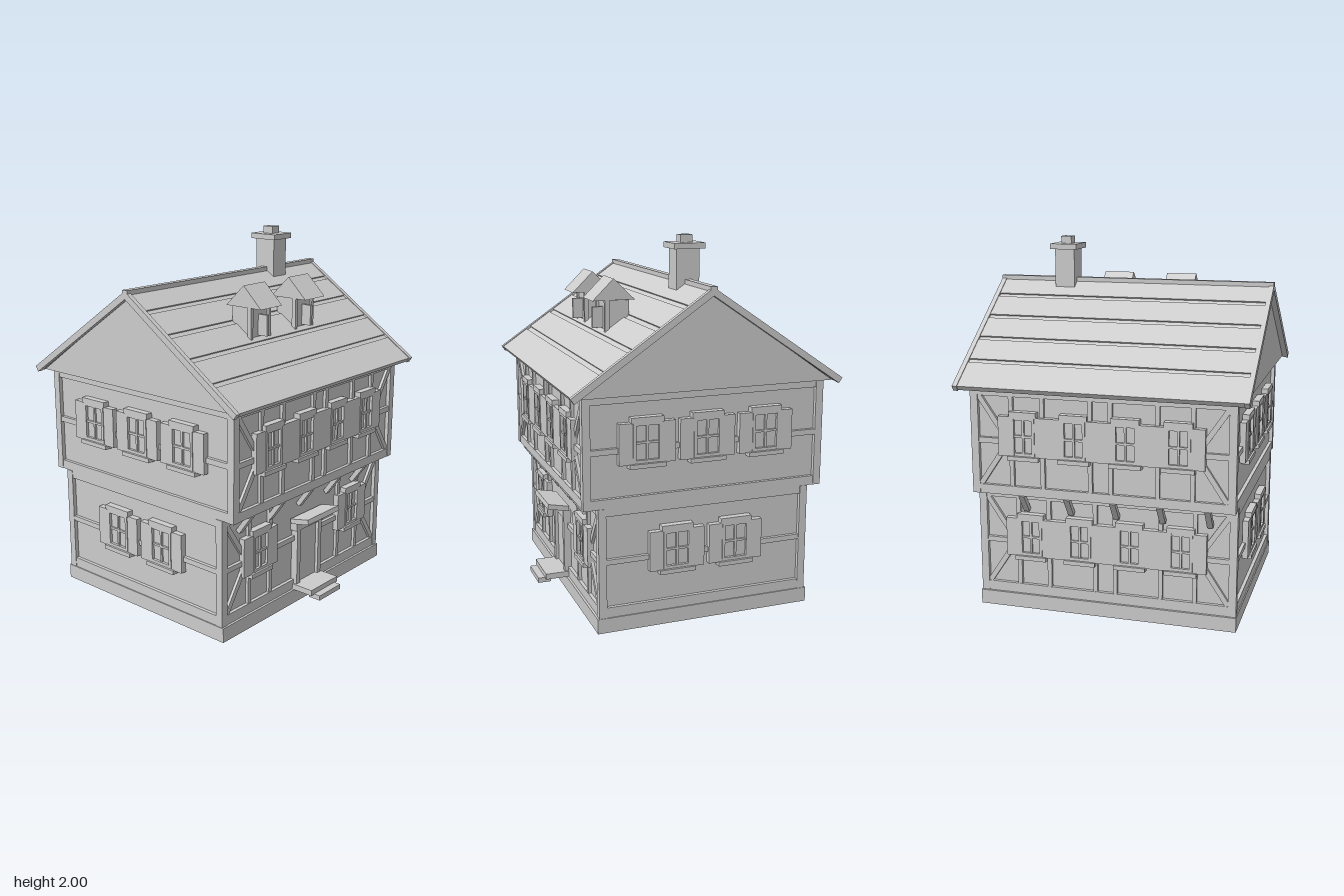
import * as THREE from 'three';

const stone = new THREE.MeshStandardMaterial({ color: 0xcccccc });
stone.name = 'plain grey';

// Box given by its lower and upper limits on each axis
function box(parent, name, x0, x1, y0, y1, z0, z1) {
  const m = new THREE.Mesh(new THREE.BoxGeometry(x1 - x0, y1 - y0, z1 - z0), stone);
  m.position.set((x0 + x1) / 2, (y0 + y1) / 2, (z0 + z1) / 2);
  m.name = name;
  parent.add(m);
  return m;
}

function group(parent, name) {
  const g = new THREE.Group();
  g.name = name;
  parent.add(g);
  return g;
}

// Beam between two points of a facade plane
function brace(parent, x0, y0, x1, y1) {
  const len = Math.hypot(x1 - x0, y1 - y0);
  const m = box(parent, 'brace', -len / 2, len / 2, -0.014, 0.014, -0.03, -0.006);
  m.position.x = (x0 + x1) / 2;
  m.position.y = (y0 + y1) / 2;
  m.rotation.z = Math.atan2(y1 - y0, x1 - x0);
}

// Triangular prism with its ridge along x
function prism(parent, name, halfX, halfZ, y0, y1, z) {
  const s = new THREE.Shape([
    new THREE.Vector2(-halfZ, y0), new THREE.Vector2(halfZ, y0), new THREE.Vector2(0, y1),
  ]);
  const geo = new THREE.ExtrudeGeometry(s, { depth: halfX * 2, bevelEnabled: false });
  geo.translate(0, 0, -halfX).rotateY(Math.PI / 2);
  const m = new THREE.Mesh(geo, stone);
  m.position.z = z;
  m.name = name;
  parent.add(m);
  return m;
}

// Shuttered four-pane window; z = 0 is the outer face of the timbers
function shutteredWindow(parent, x, y, w = 0.065) {
  const g = group(parent, 'window');
  g.position.set(x, y, 0);
  box(g, 'glass', -w, w, -0.1, 0.1, -0.03, 0.0);
  for (const s of [-1, 1]) {
    const px = s * (w - 0.008);
    box(g, 'frameSide', px - 0.008, px + 0.008, -0.105, 0.105, -0.02, 0.016);
    box(g, 'frameRail', -w, w, s * 0.097 - 0.008, s * 0.097 + 0.008, -0.02, 0.015);
    const sx = s * (w + 0.037);
    box(g, 'shutter', sx - 0.037, sx + 0.037, -0.11, 0.105, -0.02, 0.012);
  }
  box(g, 'mullion', -0.006, 0.006, -0.1, 0.1, -0.02, 0.011);
  box(g, 'crossbar', -w, w, -0.006, 0.006, -0.02, 0.01);
  box(g, 'head', -w - 0.01, w + 0.01, 0.103, 0.133, -0.02, 0.018);
  box(g, 'sill', -w - 0.022, w + 0.022, -0.13, -0.107, -0.02, 0.024);
}

// Timber rails of one wall, plus studs and corner braces on the long walls
function timbers(parent, half, rails, studs) {
  for (const [y0, y1] of rails) box(parent, 'rail', -half, half, y0, y1, -0.03, -0.003);
  if (!studs) return;
  const low = rails[0][1], mid = (rails[1][0] + rails[1][1]) / 2, top = rails[2][0];
  for (const x of studs) box(parent, 'stud', x - 0.012, x + 0.012, low, top, -0.03, -0.005);
  for (const s of [-1, 1]) {
    brace(parent, s * 0.67, top, s * 0.52, mid + 0.02);
    brace(parent, s * 0.67, low, s * 0.52, mid - 0.02);
  }
}

export function createModel() {
  const model = new THREE.Group();
  model.name = 'timberFramedHouse';
  const house = group(model, 'house');
  house.position.z = -0.011;

  box(house, 'foundation', -0.718, 0.718, 0, 0.08, -0.598, 0.598);

  // Two storeys, the upper one jutting out front and back
  const W = 0.715;
  const storeys = [
    { name: 'lowerStorey', y0: 0.08, y1: 0.67, d: 0.588, wy: 0.415, side: [-0.165, 0.165],
      rails: [[0.08, 0.135], [0.368, 0.396], [0.628, 0.67]] },
    { name: 'upperStorey', y0: 0.67, y1: 1.25, d: 0.665, wy: 1.0, side: [-0.328, 0, 0.328],
      rails: [[0.67, 0.72], [0.95, 0.98], [1.208, 1.25]] },
  ];
  const studs = [-0.49, -0.317, -0.055, 0.055, 0.305, 0.49];
  const across = [-0.417, -0.139, 0.139, 0.417];
  for (const s of storeys) {
    const g = group(house, s.name);
    box(g, 'wall', -W + 0.022, W - 0.022, s.y0, s.y1, -s.d + 0.022, s.d - 0.022);
    for (const sx of [-1, 1]) for (const sz of [-1, 1]) {
      const cx = sx * (W - 0.021), cz = sz * (s.d - 0.021);
      box(g, 'cornerPost', cx - 0.021, cx + 0.021, s.y0, s.y1, cz - 0.021, cz + 0.021);
    }
    for (let i = 0; i < 4; i++) {
      const long = i % 2 === 0;
      const wall = group(g, ['frontWall', 'leftWall', 'backWall', 'rightWall'][i]);
      wall.rotation.y = i * Math.PI / 2;
      const f = group(wall, 'facade');
      f.position.z = long ? s.d : W;
      const hasDoor = i === 0 && s.wy < 0.6;
      timbers(f, (long ? W : s.d) - 0.03, s.rails,
        long ? studs.filter((x) => !hasDoor || Math.abs(x) > 0.12) : null);
      const places = long ? across.filter((x) => !hasDoor || Math.abs(x) > 0.3) : s.side;
      for (const x of places) shutteredWindow(f, x, s.wy, long ? 0.065 : 0.077);
    }
  }

  // Slanted brackets below the jetties
  for (const s of [-1, 1]) for (let i = 0; i < 5; i++) {
    const b = box(house, 'jettyBracket', -0.016, 0.016, -0.066, 0.066, -0.013, 0.013);
    b.position.set(-0.57 + i * 0.2525, 0.622, s * 0.617);
    b.rotation.x = s * 0.62;
  }

  // Door with posts, lintel, tilted hood and steps
  const door = group(house, 'door');
  box(door, 'doorLeaf', -0.085, 0.085, 0.09, 0.43, 0.55, 0.588);
  for (const s of [-1, 1]) {
    box(door, 'doorPost', s * 0.096 - 0.015, s * 0.096 + 0.015, 0.1, 0.44, 0.55, 0.606);
  }
  box(door, 'doorLintel', -0.122, 0.118, 0.43, 0.475, 0.55, 0.61);
  const hood = box(door, 'doorHood', -0.145, 0.141, -0.014, 0.014, -0.06, 0.06);
  hood.position.set(-0.002, 0.503, 0.642);
  hood.rotation.x = -0.2;
  box(door, 'upperStep', -0.122, 0.12, 0.08, 0.112, 0.58, 0.717);
  box(door, 'lowerStep', -0.098, 0.095, 0.056, 0.084, 0.685, 0.756);

  // Roof: solid gable, sloped slabs with raised courses, edge boards and ridge
  const roof = group(house, 'roof');
  prism(roof, 'gable', 0.75, 0.695, 1.25, 1.735, 0);
  const slope = Math.atan(0.68), c = Math.cos(slope);
  const courses = [[0.02, 0.12], [0.143, 0.268], [0.292, 0.414], [0.437, 0.56], [0.583, 0.732]];
  for (let i = 0; i < 2; i++) {
    const turn = group(roof, i ? 'backSlope' : 'frontSlope');
    turn.rotation.y = i * Math.PI;
    const p = group(turn, 'slope');
    p.position.y = 1.762;
    p.rotation.x = slope;
    box(p, 'roofSlab', -0.76, 0.76, -0.028, -0.008, 0, 0.732 / c);
    for (const [a, b] of courses) box(p, 'tileCourse', -0.757, 0.757, -0.01, 0, a / c, b / c);
    for (const s of [-1, 1]) {
      box(p, 'edgeBoard', s * 0.769 - 0.013, s * 0.769 + 0.013, -0.03, 0.004, 0, 0.736 / c);
    }
  }
  box(roof, 'ridge', -0.782, 0.782, 1.74, 1.772, -0.018, 0.018);

  // Dormers
  for (const x of [-0.19, 0.187]) {
    const d = group(house, 'dormer');
    d.position.x = x;
    box(d, 'dormerBody', -0.07, 0.07, 1.48, 1.655, 0.262, 0.388);
    for (const s of [-1, 1]) {
      box(d, 'dormerPost', s * 0.073 - 0.009, s * 0.073 + 0.009, 1.48, 1.66, 0.375, 0.4);
    }
    box(d, 'dormerFin', -0.009, 0.009, 1.505, 1.617, 0.38, 0.446);
    prism(d, 'dormerRoof', 0.087, 0.117, 1.658, 1.772, 0.352);
  }

  // Chimney
  const chimney = group(house, 'chimney');
  box(chimney, 'chimneyStack', 0.33, 0.442, 1.7, 1.935, -0.062, 0.065);
  box(chimney, 'chimneyCap', 0.31, 0.464, 1.93, 1.96, -0.086, 0.086);
  box(chimney, 'chimneyPot', 0.356, 0.415, 1.955, 2, -0.033, 0.033);

  return model;
}
